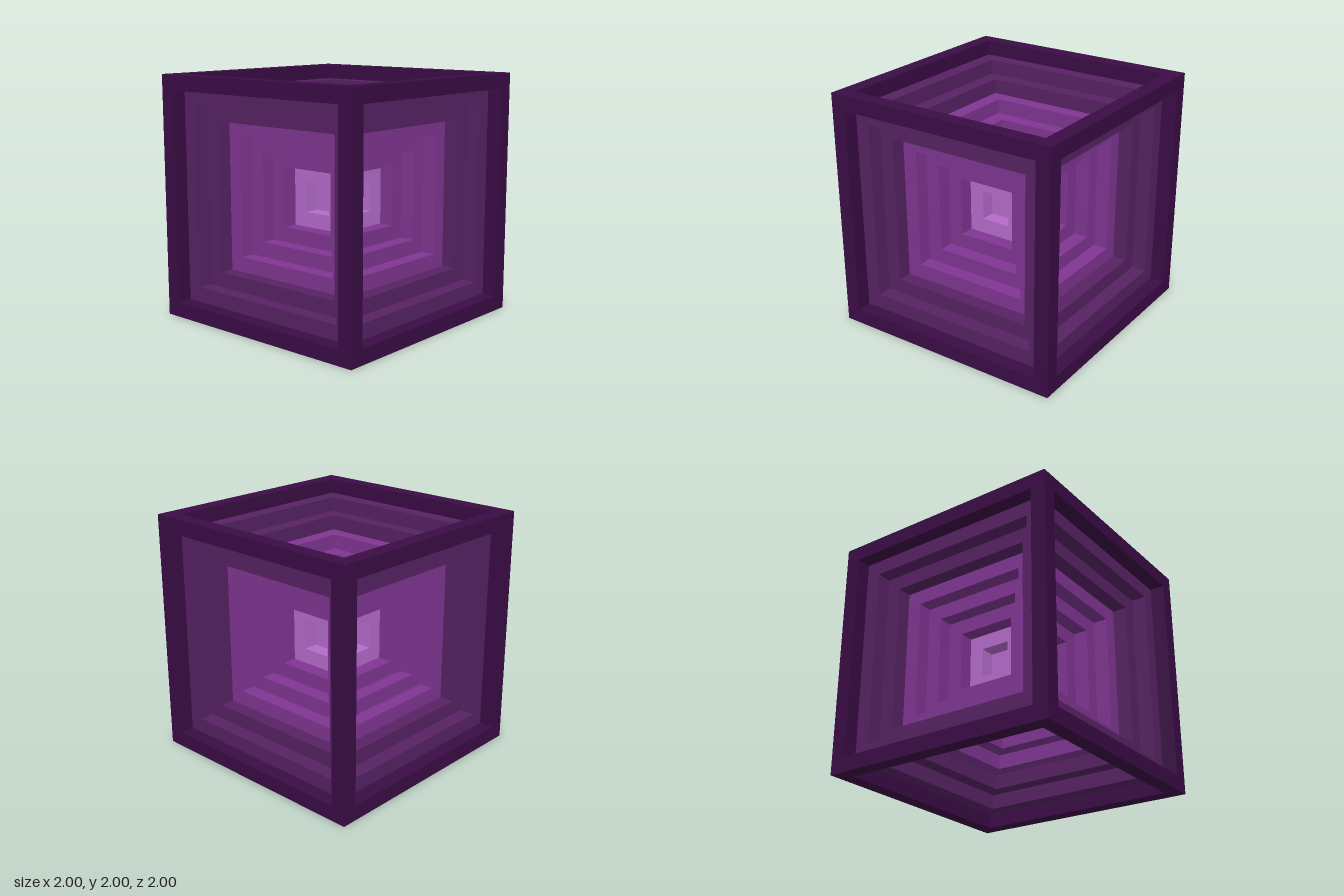
import * as THREE from 'three';

const T = 0.125; // beam thickness, also the step between nested frames

function material(name, color) {
  const m = new THREE.MeshStandardMaterial({ color });
  m.name = name;
  return m;
}

// Flat square ring, lying with its underside on y = 0
function ringGeometry(half) {
  const square = (Type, h) => {
    const p = new Type();
    p.moveTo(-h, -h).lineTo(h, -h).lineTo(h, h).lineTo(-h, h).closePath();
    return p;
  };
  const shape = square(THREE.Shape, half);
  shape.holes.push(square(THREE.Path, half - T));
  return new THREE.ExtrudeGeometry(shape, { depth: T, bevelEnabled: false }).rotateX(-Math.PI / 2);
}

// Open cube of square beams: two rings joined by four corner posts
function cubeFrame(half, mat, name) {
  const frame = new THREE.Group();
  frame.name = name;
  const add = (geometry, part, x, y, z) => {
    const mesh = new THREE.Mesh(geometry, mat);
    mesh.name = part;
    mesh.position.set(x, y, z);
    frame.add(mesh);
  };
  const ring = ringGeometry(half);
  add(ring, 'topRing', 0, half - T, 0);
  add(ring, 'bottomRing', 0, -half, 0);
  const post = new THREE.BoxGeometry(T, 2 * (half - T), T);
  const c = half - T / 2;
  for (const x of [-c, c]) for (const z of [-c, c]) add(post, 'cornerPost', x, 0, z);
  return frame;
}

export function createModel() {
  const darkest = material('darkest purple', 0x3a0c45);
  const dark = material('dark purple', 0x562263);
  const mid = material('mid purple', 0x7f3592);
  const light = material('light purple', 0xb46bcb);

  const model = new THREE.Group();
  model.name = 'nestedCubes';

  // Seven frames, each one step smaller than the last
  [darkest, dark, dark, mid, mid, mid, light].forEach((mat, i) => {
    const frame = cubeFrame(1 - i * T, mat, `cubeFrame${i + 1}`);
    frame.position.y = 1;
    model.add(frame);
  });

  // Solid core
  const core = new THREE.Mesh(new THREE.BoxGeometry(2 * T, 2 * T, 2 * T), light);
  core.name = 'core';
  core.position.y = 1;
  model.add(core);

  return model;
}
